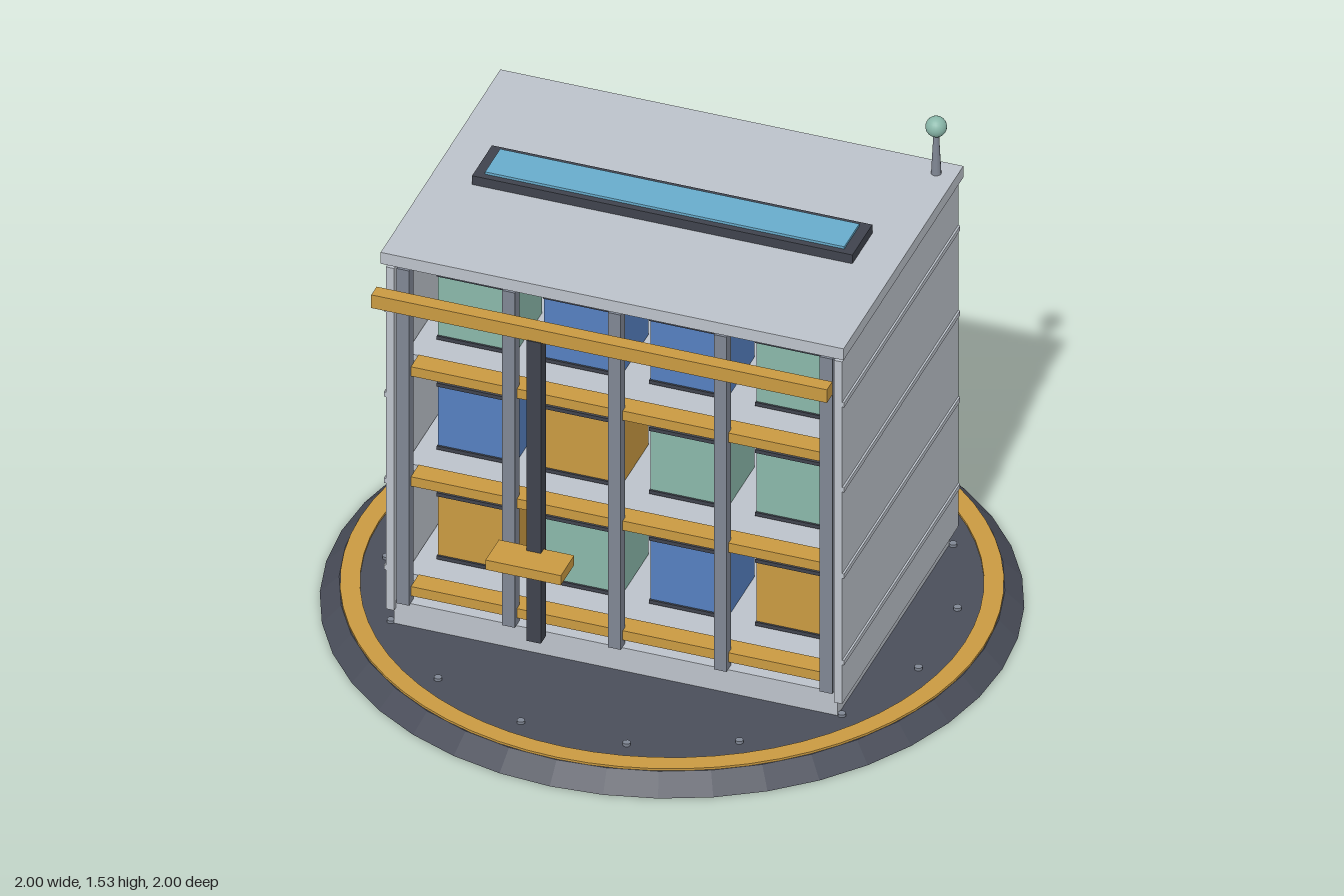
import * as THREE from 'three';

const mat = (name, color, flatShading = false) => {
  const m = new THREE.MeshStandardMaterial({ color, flatShading });
  m.name = name;
  return m;
};

export function createModel() {
  const light = mat('panelGrey', 0xbcc2ca);
  const steel = mat('steelGrey', 0x7f8693);
  const slate = mat('baseSlate', 0x4a4e5a);
  const dark = mat('darkTrim', 0x3f434d);
  const amber = mat('amber', 0xc99a42);
  const blue = mat('binBlue', 0x5580c0);
  const green = mat('binGreen', 0x8ab8aa);
  const glass = mat('skylightBlue', 0x68accc);

  const model = new THREE.Group();
  model.name = 'storageKiosk';

  const add = (name, geometry, material, x = 0, y = 0, z = 0, parent = model) => {
    const mesh = new THREE.Mesh(geometry, material);
    mesh.name = name;
    mesh.position.set(x, y, z);
    parent.add(mesh);
    return mesh;
  };
  // box given by its minimum and maximum on each axis
  const box = (name, material, x0, x1, y0, y1, z0, z1, parent = model) =>
    add(name, new THREE.BoxGeometry(x1 - x0, y1 - y0, z1 - z0), material,
      (x0 + x1) / 2, (y0 + y1) / 2, (z0 + z1) / 2, parent);

  // round base with painted ring and bolts
  const base = add('base', new THREE.CylinderGeometry(0.945, 1, 0.056, 40), slate, 0, 0.028, 0);
  base.material.flatShading = true;
  const ringProfile = [[0.942, 0.05], [0.942, 0.063], [0.885, 0.063], [0.885, 0.05]]
    .map(([r, y]) => new THREE.Vector2(r, y));
  const ringGeometry = new THREE.LatheGeometry(ringProfile, 64).toNonIndexed();
  ringGeometry.computeVertexNormals();
  add('baseRing', ringGeometry, amber);
  const boltGeometry = new THREE.CylinderGeometry(0.012, 0.012, 0.01, 8);
  for (let i = 0; i < 16; i++) {
    const a = (i + 0.5) * Math.PI / 8;
    add('baseBolt', boltGeometry, steel, 0.82 * Math.sin(a), 0.06, 0.82 * Math.cos(a));
  }

  // cabinet shell, open at the front
  box('plinth', light, -0.67, 0.67, 0.055, 0.135, -0.46, 0.46);
  box('backPanel', light, -0.67, 0.67, 0.11, 1.285, -0.48, -0.46);
  box('roof', light, -0.7, 0.7, 1.303, 1.342, -0.49, 0.49);
  for (const s of [-1, 1]) {
    const side = new THREE.Group();
    side.name = s > 0 ? 'leftWall' : 'rightWall';
    model.add(side);
    add('wallPanel', new THREE.BoxGeometry(0.025, 1.175, 0.95), light, s * 0.6775, 0.6975, 0, side);
    for (const y of [0.252, 0.55, 0.846, 1.138])
      add('wallRib', new THREE.BoxGeometry(0.01, 0.016, 0.95), light, s * 0.691, y, 0, side);
    add('rearCornerTrim', new THREE.BoxGeometry(0.02, 1.175, 0.006), steel, s * 0.679, 0.6975, -0.478, side);
  }

  // front uprights
  for (const x of [-0.64, -0.32, 0, 0.32, 0.64])
    box('frontUpright', steel, x - 0.019, x + 0.019, 0.135, 1.285, 0.435, 0.472);

  // shelves with amber lips, each carrying four bins
  const rows = [
    [0.19, [amber, green, blue, amber]],
    [0.567, [blue, amber, green, green]],
    [0.945, [green, blue, blue, green]],
  ];
  rows.forEach(([top, colors], r) => {
    const shelf = new THREE.Group();
    shelf.name = 'shelf' + (r + 1);
    model.add(shelf);
    box('shelfDeck', light, -0.66, 0.66, top - 0.025, top - 0.003, -0.46, 0.39, shelf);
    box('shelfLip', amber, -0.622, 0.622, top - 0.032, top, 0.39, 0.455, shelf);
    colors.forEach((color, i) => {
      const x = (i - 1.5) * 0.321;
      const bin = new THREE.Group();
      bin.name = 'bin';
      shelf.add(bin);
      box('binBody', color, x - 0.115, x + 0.115, top, top + 0.23, 0.07, 0.3, bin);
      for (const y of [top + 0.004, top + 0.22])
        box('binTrim', dark, x - 0.117, x + 0.117, y, y + 0.012, 0.285, 0.306, bin);
    });
  });

  // sliding picker in front of the shelves
  box('pickerRail', amber, -0.69, 0.688, 1.22, 1.265, 0.55, 0.594);
  box('pickerMast', dark, -0.22, -0.176, 0.19, 1.222, 0.555, 0.597);
  box('pickerTray', amber, -0.312, -0.084, 0.467, 0.5, 0.573, 0.682);

  // skylight
  box('skylightFrame', dark, -0.575, 0.575, 1.34, 1.372, -0.083, 0.08);
  box('skylightGlass', glass, -0.543, 0.543, 1.372, 1.38, -0.063, 0.06);

  // antenna
  add('antennaMast', new THREE.CylinderGeometry(0.008, 0.015, 0.14, 12), steel, 0.64, 1.41, -0.43);
  add('antennaBall', new THREE.SphereGeometry(0.031, 20, 14), green, 0.64, 1.502, -0.43);

  return model;
}
